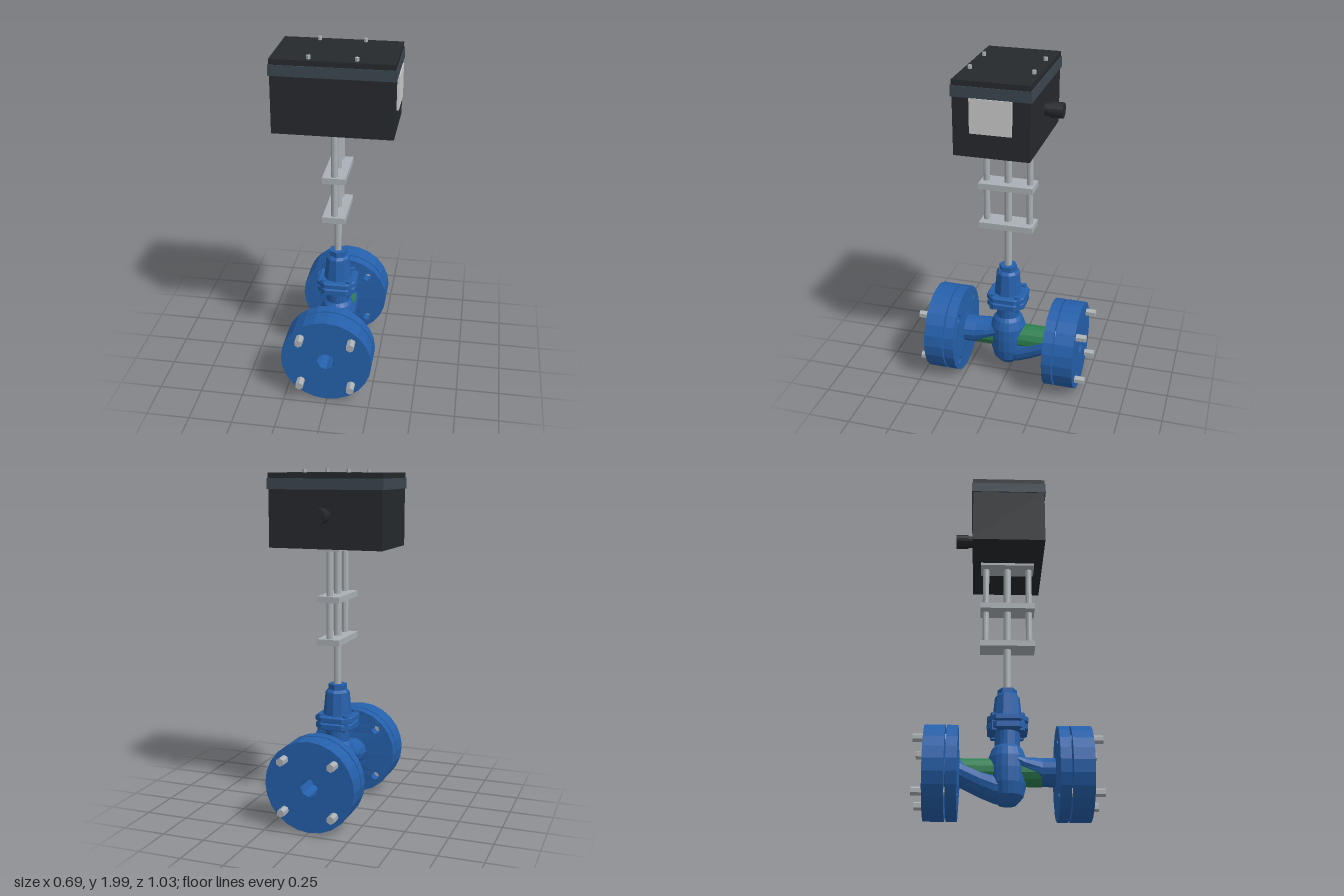
import * as THREE from 'three';

const mat = (color) => new THREE.MeshStandardMaterial({ color, flatShading: true });
const BLUE = mat(0x2560ab), GREEN = mat(0x2e8052), STEEL = mat(0xaab0b5);
const DARK = mat(0x26292d), BAND = mat(0x3c4650), PALE = mat(0xcccccc);

function add(parent, name, geo, material, x = 0, y = 0, z = 0) {
  const m = new THREE.Mesh(geo, material);
  m.name = name;
  m.position.set(x, y, z);
  parent.add(m);
  return m;
}

// Box and cylinder given by their extents
function box(parent, name, material, x0, x1, y0, y1, z0, z1) {
  return add(parent, name, new THREE.BoxGeometry(x1 - x0, y1 - y0, z1 - z0), material,
    (x0 + x1) / 2, (y0 + y1) / 2, (z0 + z1) / 2);
}
function post(parent, name, material, r0, r1, y0, y1, x, z, sides) {
  return add(parent, name, new THREE.CylinderGeometry(r1, r0, y1 - y0, sides), material, x, (y0 + y1) / 2, z);
}
function rodZ(parent, name, material, r, z0, z1, x, y, sides) {
  const geo = new THREE.CylinderGeometry(r, r, z1 - z0, sides).rotateX(Math.PI / 2);
  return add(parent, name, geo, material, x, y, (z0 + z1) / 2);
}

function ring(Type, x, y, r, n) {
  const pts = [];
  for (let i = 0; i < n; i++) {
    const a = (i / n) * Math.PI * 2;
    pts.push(new THREE.Vector2(x + r * Math.cos(a), y + r * Math.sin(a)));
  }
  return new Type(pts);
}

const BOLT = 0.148, FLANGE_R = 0.264;
const corners = [[1, 1], [-1, 1], [-1, -1], [1, -1]];

// Round plate with a bore and four bolt holes
function flangeGeometry(depth) {
  const s = ring(THREE.Shape, 0, 0, FLANGE_R, 24);
  s.holes.push(ring(THREE.Path, 0, 0, 0.052, 8));
  for (const [sx, sy] of corners) s.holes.push(ring(THREE.Path, sx * BOLT, sy * BOLT, 0.026, 8));
  return new THREE.ExtrudeGeometry(s, { depth, bevelEnabled: false });
}

// Elliptical sections [z, centre y, rx, ry] joined along z
function loft(sections, n = 14) {
  const pos = [], idx = [];
  for (const [z, cy, rx, ry] of sections) {
    for (let i = 0; i < n; i++) {
      const a = (i / n) * Math.PI * 2;
      pos.push(rx * Math.cos(a), cy + ry * Math.sin(a), z);
    }
  }
  for (let s = 0; s < sections.length - 1; s++) {
    for (let i = 0; i < n; i++) {
      const a = s * n + i, b = s * n + (i + 1) % n;
      idx.push(a, b, a + n, b, b + n, a + n);
    }
  }
  const g = new THREE.BufferGeometry();
  g.setAttribute('position', new THREE.Float32BufferAttribute(pos, 3));
  g.setIndex(idx);
  g.computeVertexNormals();
  return g;
}

// One pipe end: body flange, counter flange, gasket face and bolts
function flangePair() {
  const g = new THREE.Group();
  const inner = flangeGeometry(0.06);
  const p = inner.attributes.position;
  for (let i = 0; i < p.count; i++) {
    if (p.getZ(i) < 0.001) p.setZ(i, -0.016 * (1 - Math.hypot(p.getX(i), p.getY(i)) / FLANGE_R));
  }
  add(g, 'bodyFlange', inner, BLUE, 0, 0.27, 0.272);
  add(g, 'counterFlange', flangeGeometry(0.115), BLUE, 0, 0.27, 0.341);
  const face = ring(THREE.Shape, 0, 0, 0.11, 20);
  face.holes.push(ring(THREE.Path, 0, 0, 0.052, 8));
  add(g, 'raisedFace', new THREE.ExtrudeGeometry(face, { depth: 0.011, bevelEnabled: false }), BLUE, 0, 0.27, 0.331);
  add(g, 'boreEnd', new THREE.CircleGeometry(0.053, 8), BLUE, 0, 0.27, 0.3);
  for (const [sx, sy] of corners) rodZ(g, 'flangeBolt', STEEL, 0.024, 0.325, 0.515, sx * BOLT, 0.27 + sy * BOLT, 6);
  return g;
}

// Square plate with cut corners
function clampPlate(half, cut, height) {
  const s = new THREE.Shape();
  const h = half, c = half - cut;
  s.moveTo(c, -h).lineTo(h, -c).lineTo(h, c).lineTo(c, h).lineTo(-c, h).lineTo(-h, c).lineTo(-h, -c).lineTo(-c, -h);
  return new THREE.ExtrudeGeometry(s, {
    depth: height - 0.01, bevelEnabled: true, bevelSize: 0.008, bevelThickness: 0.005, bevelSegments: 1,
  }).rotateX(-Math.PI / 2).translate(0, 0.005, 0);
}

export function createModel() {
  const root = new THREE.Group();
  root.name = 'motorisedValve';
  const g = new THREE.Group();
  g.name = 'valveAssembly';
  g.position.x = -0.005;
  root.add(g);

  // Flanged ends
  for (const [name, turn] of [['frontFlanges', 0], ['backFlanges', Math.PI]]) {
    const f = flangePair();
    f.name = name;
    f.rotation.y = turn;
    g.add(f);
  }

  // Valve body with sloping inlet and outlet
  const profile = [[0, 0.08], [0.05, 0.092], [0.088, 0.135], [0.104, 0.2], [0.109, 0.28], [0.106, 0.35],
    [0.088, 0.4], [0.07, 0.42], [0.07, 0.51]].map(([x, y]) => new THREE.Vector2(x, y));
  add(g, 'valveBowl', new THREE.LatheGeometry(profile, 20), BLUE);
  add(g, 'frontDuct', loft([[0.03, 0.335, 0.095, 0.045], [0.1, 0.305, 0.088, 0.052],
    [0.19, 0.277, 0.086, 0.079], [0.275, 0.277, 0.092, 0.08]]), BLUE);
  add(g, 'backDuct', loft([[-0.275, 0.275, 0.09, 0.079], [-0.25, 0.262, 0.088, 0.078],
    [-0.15, 0.215, 0.086, 0.082], [-0.07, 0.185, 0.086, 0.085], [0, 0.18, 0.08, 0.09]]), BLUE);
  rodZ(g, 'innerPipe', GREEN, 0.078, -0.265, 0.19, 0, 0.273, 14);

  // Bonnet clamp, bonnet and gland nut
  add(g, 'lowerClamp', clampPlate(0.105, 0.045, 0.04), BLUE, 0, 0.5, 0);
  post(g, 'clampGasket', BLUE, 0.09, 0.09, 0.535, 0.55, 0, 0, 12);
  add(g, 'upperClamp', clampPlate(0.107, 0.045, 0.035), BLUE, 0, 0.545, 0);
  for (const [sx, sz] of corners) post(g, 'clampBolt', BLUE, 0.018, 0.018, 0.49, 0.592, sx * 0.078, sz * 0.078, 6);
  post(g, 'bonnet', BLUE, 0.085, 0.071, 0.57, 0.715, 0, 0, 10);
  post(g, 'bonnetShoulder', BLUE, 0.071, 0.058, 0.715, 0.73, 0, 0, 10);
  post(g, 'glandNut', BLUE, 0.055, 0.055, 0.725, 0.762, 0, 0, 6);

  // Stem, yoke rods and plates
  post(g, 'stem', STEEL, 0.022, 0.022, 0.75, 1.56, 0, 0, 16);
  for (const s of [-1, 1]) post(g, 'yokeRod', STEEL, 0.019, 0.019, 1.04, 1.56, 0, s * 0.128, 12);
  for (const [y0, y1] of [[1.015, 1.05], [1.26, 1.295], [1.55, 1.566]]) {
    box(g, 'yokePlate', STEEL, -0.066, 0.066, y0, y1, -0.16, 0.16);
  }

  // Actuator housing
  box(g, 'housing', DARK, -0.333, 0.333, 1.565, 1.9, -0.21, 0.21);
  box(g, 'lidBand', BAND, -0.34, 0.34, 1.89, 1.95, -0.219, 0.217);
  box(g, 'lid', DARK, -0.335, 0.335, 1.95, 1.98, -0.213, 0.211);
  box(g, 'sidePanel', PALE, 0.33, 0.346, 1.7, 1.89, -0.115, 0.115);
  for (const [sx, sz] of corners) post(g, 'lidScrew', STEEL, 0.012, 0.012, 1.97, 2, sx * 0.128, sz * 0.175, 6);

  // Cable gland at the back
  rodZ(g, 'cableGlandNeck', DARK, 0.036, -0.27, -0.2, 0, 1.75, 16);
  rodZ(g, 'cableGlandCap', DARK, 0.044, -0.312, -0.24, 0, 1.75, 16);

  return root;
}
